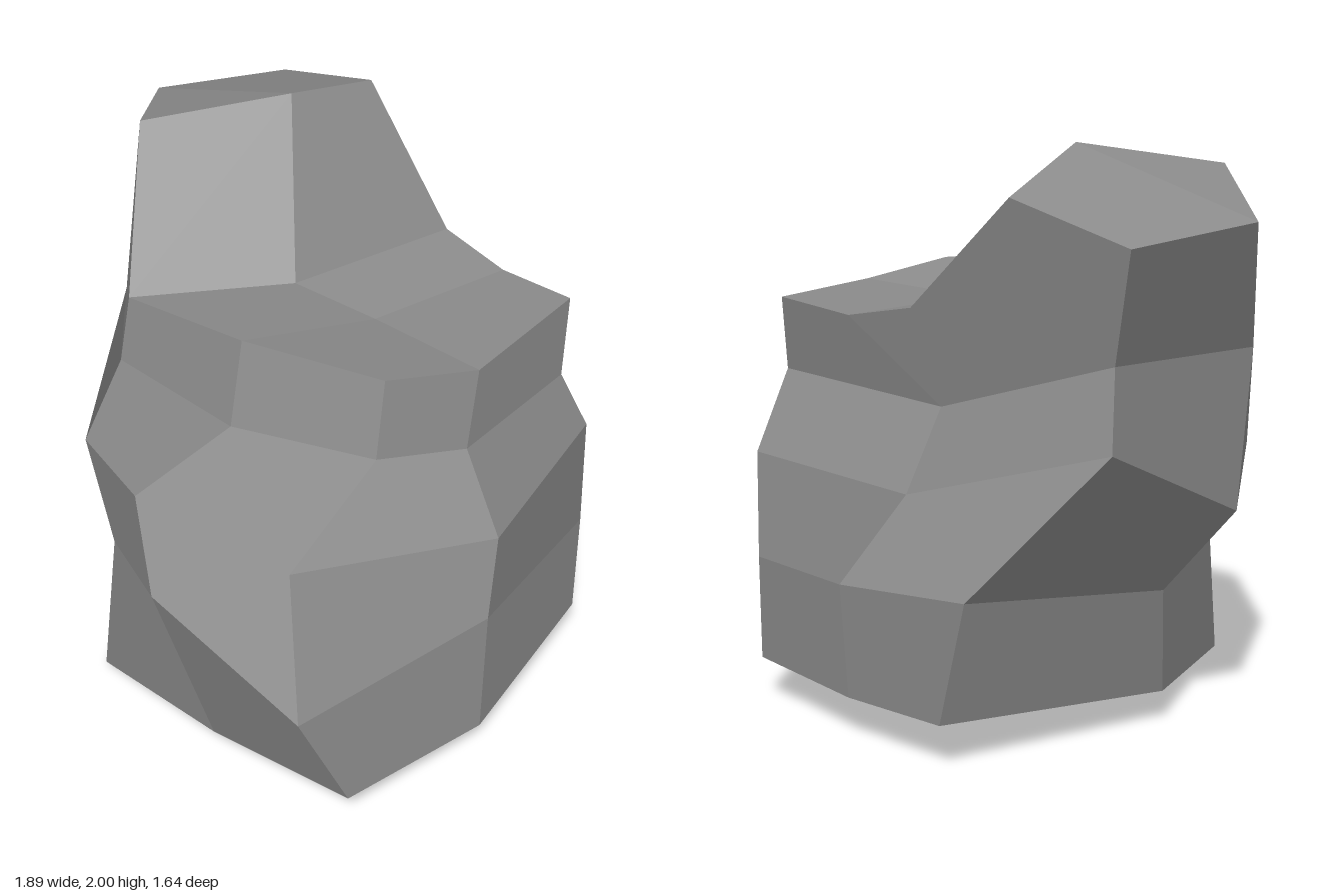
import * as THREE from 'three';

// Rings run front-left, front, front-right, right, back-right, back, back-left, left
// (as seen on screen from the front), from the ground upwards.
const rings = [
  [[-0.28, 0.03, 0.73], [0.23, 0, 0.65], [0.86, 0.13, 0.6], [0.91, 0.11, 0.02],
    [0.75, 0.16, -0.64], [0.24, 0.16, -0.75], [-0.18, 0.17, -0.78], [-0.51, 0.12, 0.02]],
  [[-0.3, 0.54, 0.64], [0.14, 0.68, 0.82], [0.78, 0.51, 0.75], [0.87, 0.55, -0.03],
    [0.73, 0.54, -0.66], [0.25, 0.56, -0.77], [-0.32, 0.62, -0.82], [-0.52, 0.49, 0]],
  [[-0.47, 0.88, 0.61], [0.03, 1.02, 0.78], [0.51, 0.85, 0.54], [0.94, 0.98, 0.03],
    [0.69, 0.93, -0.69], [0.04, 0.88, -0.67], [-0.68, 1.09, -0.54], [-0.77, 0.8, 0.05]],
  [[-0.34, 1.25, 0.53], [0.2, 1.26, 0.51], [0.62, 1.24, 0.27], [0.73, 1.19, -0.03],
    [0.67, 1.2, -0.55], [-0.02, 1.16, -0.56], [-0.66, 1.36, -0.5], [-0.83, 1.36, 0.03]],
  [[-0.3, 1.51, 0.51], [0.17, 1.54, 0.43], [0.59, 1.5, 0.21], [0.7, 1.45, -0.1],
    [0.63, 1.46, -0.61], [0.33, 1.43, -0.61], [-0.81, 1.75, -0.64], [-0.95, 1.79, -0.16]],
];

// Builds a faceted geometry from polygons, one flat normal per polygon;
// each polygon is fanned from its first corner
function facets(polygons) {
  const positions = [], normals = [];
  for (const poly of polygons) {
    const pts = poly.map((p) => new THREE.Vector3(...p));
    const normal = new THREE.Vector3();
    pts.forEach((p, i) => normal.add(p.clone().cross(pts[(i + 1) % pts.length])));
    normal.normalize();
    for (let i = 1; i < pts.length - 1; i++) {
      for (const p of [pts[0], pts[i], pts[i + 1]]) {
        positions.push(p.x, p.y, p.z);
        normals.push(normal.x, normal.y, normal.z);
      }
    }
  }
  const geo = new THREE.BufferGeometry();
  geo.setAttribute('position', new THREE.Float32BufferAttribute(positions, 3));
  geo.setAttribute('normal', new THREE.Float32BufferAttribute(normals, 3));
  return geo;
}

export function createModel() {
  const group = new THREE.Group();
  group.name = 'rock';
  const stone = new THREE.MeshStandardMaterial({ color: 0x8b8b8b });
  stone.name = 'grey stone';
  const add = (name, polygons) => {
    const mesh = new THREE.Mesh(facets(polygons), stone);
    mesh.name = name;
    group.add(mesh);
  };

  // Spur and crown points
  const tipFront = [-0.61, 1.92, 0.19], tipPeak = [-0.3, 2, -0.21], tipBack = [-0.37, 1.87, -0.65];
  const notch = [-0.03, 1.48, 0.02], notchBack = [0.07, 1.48, -0.6], crownMid = [0.25, 1.43, -0.08];
  const [fl, f, fr, r, br, b, bl, l] = rings[4];

  // Side walls between neighbouring rings
  const walls = [];
  for (let k = 0; k < 4; k++) {
    for (let i = 0; i < 8; i++) {
      const j = (i + 1) % 8;
      const lower = rings[k], upper = rings[k + 1];
      if (k === 3 && (i === 5 || i === 7)) continue; // these run up into the spur
      walls.push([lower[j], upper[j], upper[i], lower[i]]);
    }
  }
  add('sideWalls', walls);

  // Underside, four quads around a middle point
  const bottom = rings[0], underMid = [0.2, 0.015, 0.07];
  add('underside', [0, 2, 4, 6].map((i) => [underMid, bottom[i + 1], bottom[i], bottom[(i + 7) % 8]]));

  // Low top of the rock
  add('crown', [
    [fl, f, crownMid, notch], [f, fr, r, crownMid],
    [crownMid, r, br, b], [notch, crownMid, b, notchBack],
  ]);

  // Tall leaning spur
  const neck = rings[3];
  add('spur', [
    [neck[0], fl, tipFront, l, neck[7]],
    [neck[6], bl, tipBack, notchBack, b, neck[5]],
    [fl, notch, tipPeak, tipFront], [notch, notchBack, tipBack, tipPeak],
    [l, tipPeak, tipBack, bl], [l, tipFront, tipPeak],
  ]);
  return group;
}
